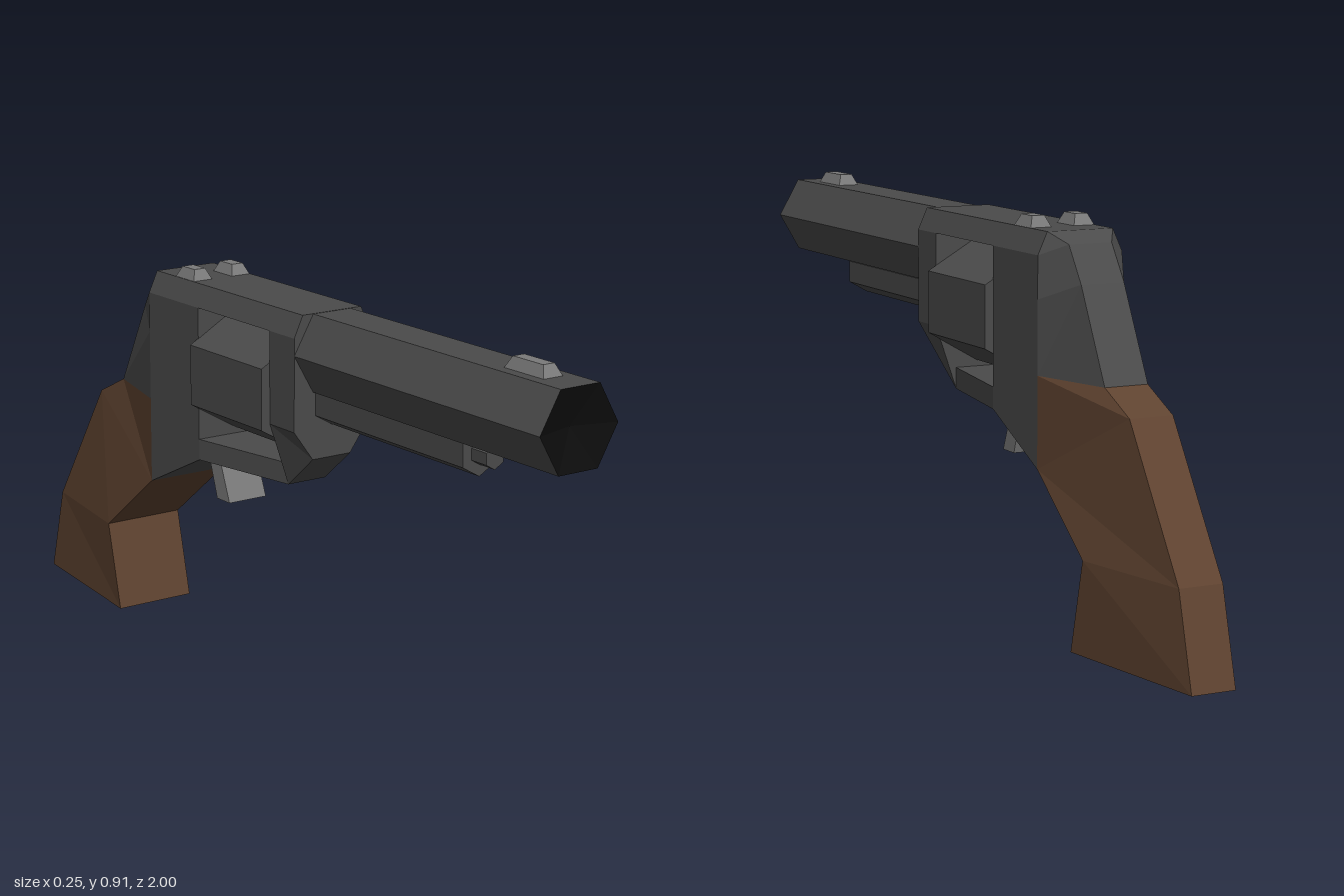
import * as THREE from 'three';

// Solid through matching convex loops of [x, y, z] points, faceted, facing outward
function loft(loops, capped = true) {
  const tris = [];
  const n = loops[0].length;
  for (let s = 0; s < loops.length - 1; s++) {
    for (let i = 0; i < n; i++) {
      const j = (i + 1) % n;
      const a = loops[s], b = loops[s + 1];
      tris.push([a[i], a[j], b[j]], [a[i], b[j], b[i]]);
    }
  }
  if (capped) {
    const first = loops[0], last = loops[loops.length - 1];
    for (let i = 1; i < n - 1; i++) {
      tris.push([first[0], first[i + 1], first[i]], [last[0], last[i], last[i + 1]]);
    }
  }
  // Signed volume about the middle tells whether the winding must be flipped
  const all = loops.flat();
  const mid = [0, 1, 2].map((k) => all.reduce((sum, p) => sum + p[k], 0) / all.length);
  const vec = (p) => new THREE.Vector3(p[0] - mid[0], p[1] - mid[1], p[2] - mid[2]);
  let volume = 0;
  for (const [a, b, c] of tris) volume += vec(a).dot(vec(b).cross(vec(c)));
  const ordered = volume < 0 ? tris.map(([a, b, c]) => [a, c, b]) : tris;
  const geometry = new THREE.BufferGeometry();
  geometry.setAttribute('position', new THREE.Float32BufferAttribute(ordered.flat(2), 3));
  geometry.computeVertexNormals();
  return geometry;
}

// Mirrored cross-section at depth z from the half outline [x, y], top to bottom
const section = (z, half) => [
  ...half.map(([x, y]) => [x, y, z]),
  ...half.slice().reverse().map(([x, y]) => [-x, y, z]),
];

// Hexagon at depth z; turn = 0 puts points at the sides, PI / 6 at the top
const hexagon = (radius, y, z, turn) => Array.from({ length: 6 }, (_, i) => {
  const a = turn + (i * Math.PI) / 3;
  return [radius * Math.cos(a), y + radius * Math.sin(a), z];
});
const hexBar = (radius, y, z0, z1, turn, capped) =>
  loft([hexagon(radius, y, z0, turn), hexagon(radius, y, z1, turn)], capped);

// Flat rectangle at height y
const rect = (x, halfX, y, z0, z1) => [
  [x - halfX, y, z0], [x + halfX, y, z0], [x + halfX, y, z1], [x - halfX, y, z1],
];

// Wide front edge and narrow back edge, for the tapering rear half
const wedge = (frontY, frontZ, backY, backZ, backX = 0.052) => [
  [0.103, frontY, frontZ], [backX, backY, backZ], [-backX, backY, backZ], [-0.103, frontY, frontZ],
];

export function createModel() {
  const model = new THREE.Group();
  const material = (name, color) => {
    const m = new THREE.MeshStandardMaterial({ color });
    m.name = name;
    return m;
  };
  const steel = material('dark steel', 0x4b4b4b);
  const trim = material('light steel', 0x7a7a7a);
  const wood = material('brown wood', 0x5f4330);
  const black = material('bore black', 0x0d0d0d);

  const add = (name, geometry, mat) => {
    const mesh = new THREE.Mesh(geometry, mat);
    mesh.name = name;
    model.add(mesh);
    return mesh;
  };

  // Barrel with a shallow black muzzle
  add('barrel', hexBar(0.103, 0.795, 0.16, 1, 0, false), steel);
  const bore = new THREE.CircleGeometry(0.103, 6);
  bore.attributes.position.setZ(0, -0.03);
  const muzzle = bore.toNonIndexed();
  muzzle.computeVertexNormals();
  add('muzzle', muzzle, black).position.set(0, 0.795, 1);

  // Ejector under the barrel
  add('ejectorHousing', hexBar(0.052, 0.677, 0.16, 0.69, Math.PI / 6), steel);
  add('ejectorRod', hexBar(0.026, 0.677, 0.68, 0.74, Math.PI / 6), steel);

  // Frame around the open cylinder window
  const shoulder = [[0.08, 0.885], [0.103, 0.835]];
  add('frameFront', loft([
    section(0.165, [...shoulder, [0.103, 0.62], [0.052, 0.55]]),
    section(0.07, [...shoulder, [0.103, 0.62], [0.052, 0.47]]),
  ]), steel);
  add('topStrap', loft([section(0.07, shoulder), section(-0.22, shoulder)]), steel);
  add('bottomStrap', loft([
    section(0.07, [[0.052, 0.52], [0.052, 0.47]]),
    section(-0.22, [[0.103, 0.52], [0.103, 0.47]]),
  ]), steel);
  add('frameBack', loft([
    section(-0.22, [...shoulder, [0.103, 0.47]]),
    section(-0.43, [...shoulder, [0.103, 0.37]]),
  ]), steel);
  add('frameHump', loft([
    wedge(0.575, -0.43, 0.575, -0.635),
    wedge(0.74, -0.43, 0.78, -0.53),
    wedge(0.835, -0.43, 0.86, -0.475),
    wedge(0.835, -0.43, 0.885, -0.43, 0.08),
  ]), steel);

  // Six-sided cylinder
  add('cylinder', hexBar(0.143, 0.678, 0.068, -0.222, Math.PI / 6), steel);

  // Grip
  add('grip', loft([
    wedge(0.575, -0.43, 0.575, -0.635),
    wedge(0.37, -0.43, 0.525, -0.74),
    wedge(0.21, -0.635, 0.21, -0.945),
    wedge(0, -0.585, 0, -1),
  ]), wood);

  // Trigger
  add('trigger', loft([
    rect(0, 0.052, 0.48, -0.215, -0.26),
    rect(0, 0.052, 0.367, -0.17, -0.222),
  ]), trim);

  // Sights
  const sight = (name, x, z, length) => add(name, loft([
    rect(x, 0.026, 0.883, z - length / 2, z + length / 2),
    rect(x, 0.015, 0.91, z - length / 2 + 0.015, z + length / 2 - 0.015),
  ]), trim);
  sight('frontSight', 0, 0.855, 0.125);
  sight('rearSightLeft', 0.053, -0.312, 0.08);
  sight('rearSightRight', -0.053, -0.312, 0.08);

  return model;
}
